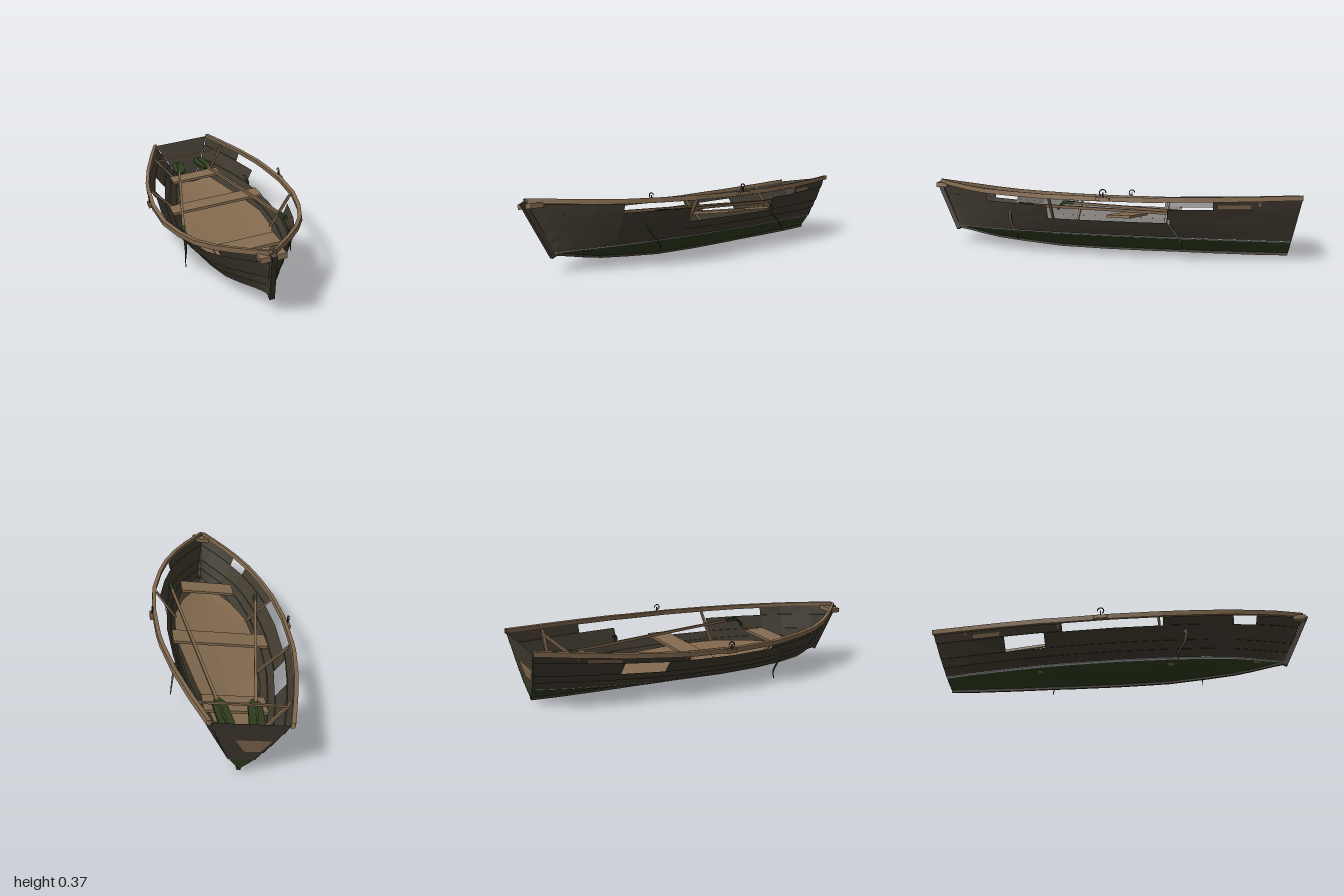
import * as THREE from 'three';
import { mergeGeometries } from 'three/addons/utils/BufferGeometryUtils.js';

// Hull stations from stern to bow: z, half beam, rail height, keel height, chine half width
const Z = [-1, -.8, -.58, -.36, -.26, 0, .25, .45, .6, .72, .82, .9, .97];
const W = [.178, .235, .29, .33, .341, .353, .338, .297, .25, .19, .125, .065, .007];
const V = [.308, .296, .285, .277, .273, .272, .274, .282, .29, .302, .315, .325, .335];
const K = [.015, .01, .006, .004, .002, 0, .003, .018, .032, .045, .058, .068, .075];
const C = [.055, .1, .145, .183, .192, .205, .195, .168, .13, .088, .048, .02, .004];
const CHINE = 0.088;

const mat = (name, color) => {
  const m = new THREE.MeshStandardMaterial({ color, side: THREE.DoubleSide });
  m.name = name;
  return m;
};

// Flat-shaded skin over rows of points
function surface(rows, closed = false) {
  const pos = [], idx = [], n = rows[0].length;
  rows.forEach(r => r.forEach(p => pos.push(...p)));
  for (let i = 0; i < rows.length - 1; i++) {
    for (let j = 0; j < (closed ? n : n - 1); j++) {
      const k = (j + 1) % n, a = i * n + j, b = i * n + k;
      idx.push(a, b, a + n, b, b + n, a + n);
    }
  }
  const g = new THREE.BufferGeometry();
  g.setAttribute('position', new THREE.Float32BufferAttribute(pos, 3));
  g.setIndex(idx);
  const flat = g.toNonIndexed();
  flat.computeVertexNormals();
  return flat;
}

const mix = (p, q, f) => p.map((v, k) => v + (q[k] - v) * f);

const at = (table, z) => {
  let i = 0;
  while (i < Z.length - 2 && z > Z[i + 1]) i++;
  return THREE.MathUtils.lerp(table[i], table[i + 1], (z - Z[i]) / (Z[i + 1] - Z[i]));
};

// Raked stem and transom shift the lower points inwards
function rake(i, y) {
  const z = Z[i], drop = 1 - (y - K[i]) / (V[i] - K[i]);
  return z - drop * (z > 0.6 ? 0.12 * (z - 0.6) / 0.37 : z < -0.8 ? 0.06 * (z + 0.8) / 0.2 : 0);
}

// Hull levels: keel, bilge, chine, then four strake edges up to the rail
const UPPER = [0, .2, .4, .75, 1];
function hullPoint(i, level, side, out = 0) {
  let x, y;
  if (level < 2) {
    x = level ? C[i] * 0.7 : 0;
    y = K[i] + 0.008 + (level ? 0.58 * (CHINE - K[i]) : 0);
  } else {
    const s = UPPER[level - 2];
    x = C[i] + (W[i] - 0.01 - C[i]) * (s + 0.25 * s * (1 - s));
    y = CHINE + (V[i] - CHINE) * s;
  }
  return [side * Math.max(0, x + (level ? out : 0)), y, rake(i, y)];
}

// Lost planks on each side: strake, from z, to z
const GAPS = {
  1: [[5, -.58, .6], [4, -.36, .25]],
  '-1': [[4, -.58, -.36], [5, -.26, .25], [5, .6, .72]],
};

export function createModel() {
  const dark = mat('dark weathered wood', 0x403a2f);
  const wood = mat('bare wood', 0x836a4f);
  const green = mat('green paint', 0x2f3d1e);
  const pale = mat('pale waterline', 0xb4b6b8);
  const iron = mat('dark iron', 0x2a2a28);

  const model = new THREE.Group();
  const boat = new THREE.Group();
  boat.name = 'heeledBoat';
  boat.position.set(0.04, 0.005, 0);
  boat.rotation.z = 0.143;
  model.add(boat);

  const add = (name, geo, m, parent = boat) => {
    const mesh = new THREE.Mesh(geo, m);
    mesh.name = name;
    parent.add(mesh);
    return mesh;
  };
  const box = (name, w, h, d, x, y, z, m = wood) =>
    add(name, new THREE.BoxGeometry(w, h, d), m).position.set(x, y, z);
  const beam = (name, a, b, w, h, m = wood, parent = boat) => {
    const p = new THREE.Vector3(...a), q = new THREE.Vector3(...b);
    const geo = new THREE.BoxGeometry(w, h, p.distanceTo(q));
    geo.applyMatrix4(new THREE.Matrix4().lookAt(q, p, new THREE.Vector3(0, 1, 0)));
    const mid = p.add(q).multiplyScalar(0.5);
    add(name, geo, m, parent).position.copy(mid);
  };

  for (const side of [1, -1]) {
    // Overlapping strakes with broken gaps; the first point closes the lap
    for (let s = 0; s < 6; s++) {
      const cells = [];
      for (let i = 0; i < Z.length - 1; i++) {
        const mid = (Z[i] + Z[i + 1]) / 2;
        if (GAPS[side].some(([g, a, b]) => g === s && mid > a && mid < b)) continue;
        cells.push(surface([i, i + 1].map(k =>
          [hullPoint(k, s, side), hullPoint(k, s, side, s < 2 ? 0 : 0.005), hullPoint(k, s + 1, side)])));
      }
      add(s < 2 ? 'bottomPlank' : 'sideStrake', mergeGeometries(cells), s < 2 ? green : dark);
    }
    // Unpainted inside of the bottom
    add('bottomLining', surface(Z.map((z, i) => [0, 1, 2].map(l => {
      const p = hullPoint(i, l, side, -0.002);
      return [p[0], p[1] + 0.004, p[2]];
    }))), dark);
    // Pale line wrapped under the lowest lap
    add('waterline', surface(Z.map((z, i) => {
      const [x, y, pz] = hullPoint(i, 2, side, 0.007);
      const inner = mix(hullPoint(i, 2, side), hullPoint(i, 1, side), 0.12);
      return [[x, y + 0.002, pz], [x, y - 0.001, pz], [inner[0], inner[1] - 0.003, inner[2]]];
    })), pale);
    // Gunwale rail
    add('gunwale', surface(Z.map((z, i) => [[-.012, -.012], [.008, -.012], [.008, .012], [-.012, .012]]
      .map(([dx, dy]) => [side * Math.max(0, W[i] + dx), V[i] + dy, z])), true), wood);
    // Oarlock block, pin and open horn
    box('oarlockBlock', 0.028, 0.018, 0.07, side * 0.359, 0.27, -0.055);
    box('oarlockPin', 0.006, 0.03, 0.006, side * 0.362, 0.288, -0.055, iron);
    const horn = add('oarlockHorn', new THREE.TorusGeometry(0.016, 0.003, 5, 12, 4.2), iron);
    horn.position.set(side * 0.362, 0.302, -0.055);
    horn.rotation.set(0, Math.PI / 2, 0);
    // Frames from rail to floor
    for (const z of side > 0 ? [.23, -.8] : [.23, -.28, -.8]) {
      beam('frame', [side * (at(W, z) - 0.015), at(V, z) - 0.01, z],
        [side * (at(C, z) - 0.005), CHINE + 0.015, z], 0.012, 0.012);
    }
    // Bare patches showing through the paint: station, span, height range, strake
    for (const [i, a, b, lo, hi, lv] of [[1, .2, .9, .1, .45, 5], [9, .1, .7, .1, .65, 1], [6, .05, .18, .2, .5, 1], [2, .7, .82, .2, .5, 1]]) {
      const patchPoint = (t, u) => {
        const low = mix(hullPoint(i, lv, side, lv < 2 ? 0 : .005), hullPoint(i + 1, lv, side, lv < 2 ? 0 : .005), t);
        const high = mix(hullPoint(i, lv + 1, side), hullPoint(i + 1, lv + 1, side), t);
        const p = mix(low, high, u);
        return [p[0] + side * 0.002, p[1] - (lv < 2 ? 0.004 : 0), p[2]];
      };
      add('barePatch', surface([a, b].map(t => [patchPoint(t, lo), patchPoint(t, hi)])), wood);
    }
  }

  // Transom with a bare patch
  const transomRow = l => [hullPoint(0, l, -1), hullPoint(0, l, 1)];
  add('transom', surface([2, 3, 4, 5, 6].map(transomRow)), dark);
  add('transomBottom', surface([0, 1, 2].map(transomRow)), green);
  add('transomPatch', surface([[.14, -.07, .0], [.21, -.11, .05]].map(([y, a, b]) =>
    [a, b].map(x => [x, y, rake(0, y) - 0.003]))), wood);

  // Keel, stem and breasthook
  add('keel', surface(Z.map((z, i) => [[-.009, 0], [.009, 0], [.009, .014], [-.009, .014]]
    .map(([x, y]) => [x, K[i] + y, rake(i, K[i])])), true), dark);
  beam('stem', [0, 0.07, 0.855], [0, 0.33, 0.985], 0.024, 0.024, dark);
  box('breasthook', 0.115, 0.024, 0.065, 0, 0.312, 0.945);

  // Cupped floor
  const floor = [[-.74, .1], [-.4, .16], [0, .218], [.25, .205], [.45, .14], [.57, .068], [.71, .03]];
  add('floor', surface(floor.map(([z, w]) => [-1, -.5, 0, .5, 1].map(f => [f * w, 0.108 + 0.012 * f * f, z]))), wood);

  // Thwarts and stern crossbar
  box('middleThwart', 0.5, 0.014, 0.12, 0, 0.185, -0.11);
  box('forwardThwart', 0.31, 0.014, 0.125, 0, 0.175, 0.505);
  box('sternThwart', 0.3, 0.014, 0.12, 0, 0.165, -0.665);
  beam('sternCrossbar', [-.22, .265, -.8], [.22, .265, -.8], 0.01, 0.01);

  // Oars resting on the thwarts
  const outline = new THREE.Shape([[-.013, .23], [-.034, .19], [-.036, .04], [-.022, 0], [.022, 0], [.036, .04], [.034, .19], [.013, .23]]
    .map(p => new THREE.Vector2(...p)));
  const bladeGeo = new THREE.ExtrudeGeometry(outline, { depth: 0.012, bevelEnabled: false });
  bladeGeo.rotateX(Math.PI / 2);
  for (const [side, root, tip] of [[1, [.1, .215, -.69], [.24, .264, .42]], [-1, [-.078, .19, -.69], [-.25, .2, .33]]]) {
    const oar = new THREE.Group();
    oar.name = 'oar';
    model.add(oar);
    const b = add('oarBlade', bladeGeo, green, oar);
    b.position.set(root[0] - side * 0.026, root[1] + 0.004, -0.9);
    b.rotation.set(0, side * 0.1, 0.143);
    beam('bladeRidge', [root[0] - side * .022, root[1] + .003, -.87], root, 0.012, 0.012, green, oar);
    const grip = mix(root, tip, 0.93);
    beam('oarShaft', root, grip, 0.014, 0.014, wood, oar);
    beam('oarGrip', grip, tip, 0.018, 0.018, green, oar);
  }

  // Tapering weed strands hanging over the sides
  for (const pts of [
    [[.235, .262, .42], [.24, .23, .465], [.252, .17, .46], [.265, .12, .425], [.271, .085, .42]],
    [[.25, .24, -.38], [.272, .21, -.365], [.28, .17, -.39], [.293, .12, -.43], [.299, .085, -.435]],
    [[-.25, .205, .32], [-.25, .165, .36], [-.245, .11, .35], [-.241, .05, .315], [-.24, .01, .32]],
  ]) {
    const curve = new THREE.CatmullRomCurve3(pts.map(p => new THREE.Vector3(...p)));
    add('weedStrand', surface(curve.getPoints(10).map((p, i) => {
      const r = 0.008 * (1 - i / 10) + 0.0015;
      return [[-r, -r], [r, -r], [r, r], [-r, r]].map(([x, z]) => [p.x + x * 0.8, p.y, p.z + z]);
    }), true), green, model);
  }
  return model;
}
